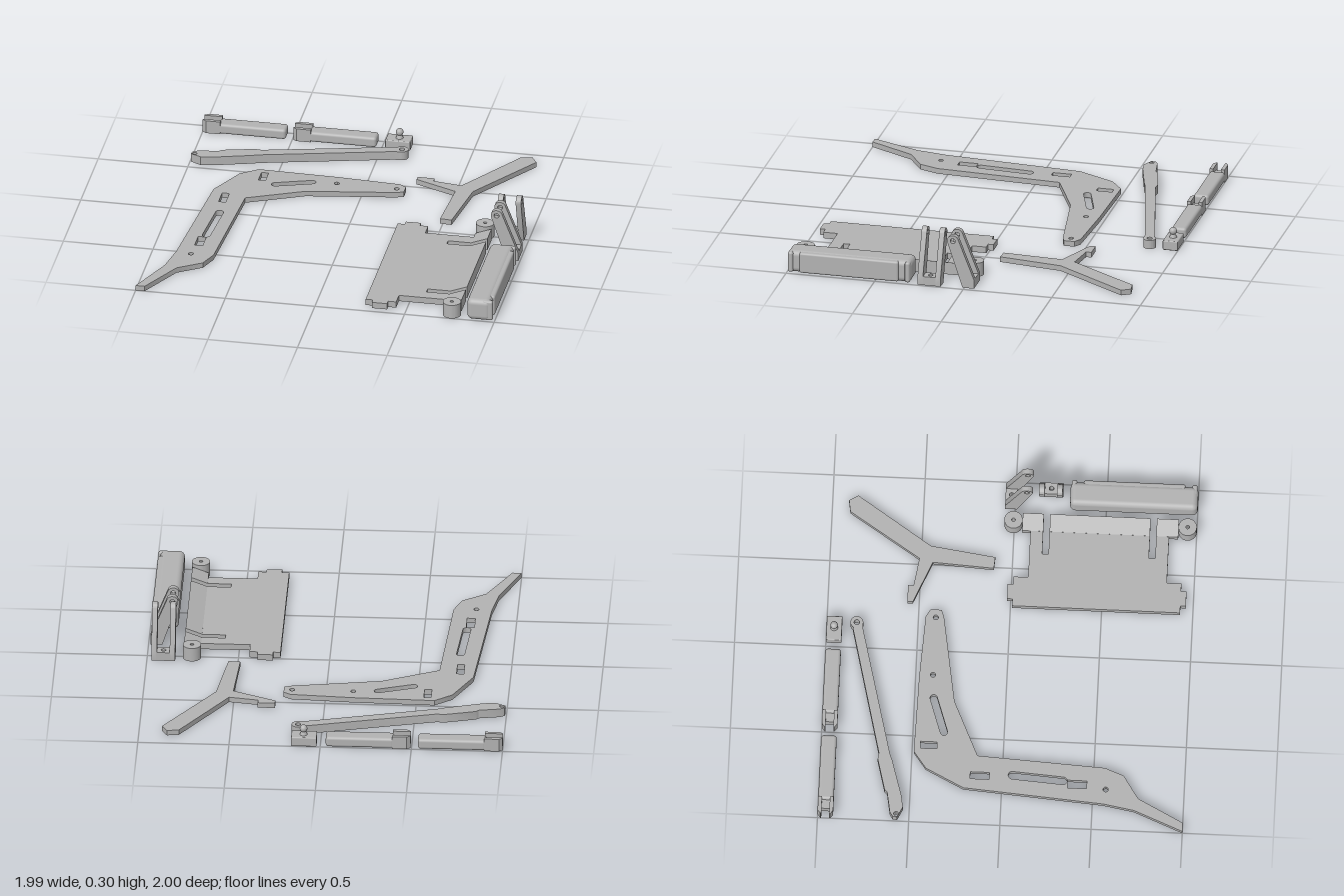
import * as THREE from 'three';
import { toCreasedNormals } from 'three/addons/utils/BufferGeometryUtils.js';
import { RoundedBoxGeometry } from 'three/addons/geometries/RoundedBoxGeometry.js';

const grey = new THREE.MeshStandardMaterial({ color: 0xb2b2b2 });
grey.name = 'plain grey';

function add(parent, name, geometry, x = 0, y = 0, z = 0) {
  const mesh = new THREE.Mesh(geometry, grey);
  mesh.name = name;
  mesh.position.set(x, y, z);
  parent.add(mesh);
  return mesh;
}

// Box given by its limits, optionally rounded
function block(parent, name, x0, x1, y0, y1, z0, z1, r = 0) {
  const s = [x1 - x0, y1 - y0, z1 - z0];
  const geo = r ? new RoundedBoxGeometry(...s, 4, r) : new THREE.BoxGeometry(...s);
  return add(parent, name, geo, (x0 + x1) / 2, (y0 + y1) / 2, (z0 + z1) / 2);
}

// Outlines are in plan coordinates [x, z]
const flip = (pts) => pts.map(([x, z]) => new THREE.Vector2(x, -z));
const circle = (x, z, r) => new THREE.Path().absarc(x, -z, r, 0, Math.PI * 2);
const rect = (x0, x1, z0, z1) => new THREE.Path(flip([[x0, z0], [x1, z0], [x1, z1], [x0, z1]]));

function slot(x0, z0, x1, z1, r) {
  const a = Math.atan2(z0 - z1, x1 - x0);
  const path = new THREE.Path();
  path.absarc(x1, -z1, r, a - Math.PI / 2, a + Math.PI / 2);
  path.absarc(x0, -z0, r, a + Math.PI / 2, a + Math.PI * 1.5);
  path.closePath();
  return path;
}

function extrude(shape, depth) {
  return toCreasedNormals(new THREE.ExtrudeGeometry(shape, { depth, bevelEnabled: false, curveSegments: 20 }), 0.6);
}

// Flat part lying on the ground
function plate(parent, name, shape, height, holes = []) {
  shape.holes.push(...holes);
  return add(parent, name, extrude(shape, height).rotateX(-Math.PI / 2));
}

// Finger segment with a raised fork at its end
function finger(x) {
  const g = new THREE.Group();
  g.name = 'fingerSegment';
  block(g, 'fingerBody', 0.09, 0.465, 0, 0.06, -1, -0.915, 0.016);
  block(g, 'forkFloor', 0.04, 0.12, 0, 0.045, -0.983, -0.932);
  for (const side of [-1, 1]) {
    const zo = -0.9575 + side * 0.0425, zi = -0.9575 + side * 0.022;
    const pts = [[0, zo - side * 0.015], [0.02, zo], [0.1, zo], [0.1, zi], [0, zi]];
    plate(g, 'forkProng', new THREE.Shape(flip(pts)), 0.075);
  }
  g.position.x = x;
  return g;
}

// Clevis with two leaning, round-topped legs and a drilled foot
function clevis() {
  const g = new THREE.Group();
  g.name = 'clevis';
  const leg = new THREE.Shape();
  leg.moveTo(-0.055, 0);
  leg.lineTo(0.01, 0);
  leg.lineTo(0.0965, 0.262);
  leg.absarc(0.065, 0.268, 0.032, -0.2, Math.PI - 0.25);
  leg.lineTo(-0.055, 0.05);
  leg.closePath();
  leg.holes.push(new THREE.Path().absarc(0.065, 0.268, 0.014, 0, Math.PI * 2));
  for (const z of [-0.065, 0.035]) add(g, 'clevisLeg', extrude(leg, 0.03), 0, 0, z);
  const foot = new THREE.Shape(flip([[-0.055, -0.04], [0.01, -0.04], [0.01, 0.04], [-0.055, 0.04]]));
  plate(g, 'clevisFoot', foot, 0.05, [circle(-0.022, 0, 0.013)]);
  return g;
}

export function createModel() {
  const model = new THREE.Group();
  model.name = 'flatPartsKit';

  // Large bent arm with slots and pin holes
  plate(model, 'bentArm', new THREE.Shape(flip([
    [-1, 1], [-0.95, 1], [-0.82, 0.75], [-0.69, 0.665], [-0.65, 0.56], [-0.61, -0.14], [-0.3, -0.28],
    [0.19, -0.36], [0.23, -0.375], [0.23, -0.435], [0.19, -0.46], [-0.16, -0.48], [-0.6, -0.49],
    [-0.695, -0.42], [-0.8, -0.21], [-0.86, 0.56], [-0.89, 0.73],
  ])), 0.03, [
    rect(-0.58, -0.54, -0.455, -0.365), rect(-0.745, -0.705, -0.175, -0.07), rect(-0.775, -0.73, 0.36, 0.465),
    slot(-0.48, -0.33, -0.285, -0.395, 0.02), slot(-0.715, 0.055, -0.735, 0.335, 0.022),
    circle(-0.15, -0.405, 0.014), circle(0.185, -0.405, 0.014), circle(-0.775, 0.57, 0.014),
  ]);

  // Long link rod with a round eye
  const rod = new THREE.Shape(flip([[-0.995, -0.565], [-0.935, -0.535], [-0.87, -0.545], [-0.665, -0.605], [-0.625, -0.62], [0.095, -0.8]]));
  rod.absarc(0.13, 0.835, 0.035, -Math.PI / 2, Math.PI * 0.85);
  for (const p of flip([[0.095, -0.855], [-0.625, -0.68], [-0.66, -0.685], [-0.835, -0.64], [-0.85, -0.625], [-0.965, -0.605], [-0.99, -0.59]])) rod.lineTo(p.x, p.y);
  rod.closePath();
  plate(model, 'linkRod', rod, 0.05, [circle(-0.975, -0.57, 0.013), circle(0.13, -0.835, 0.015)]);

  // Three-way fork piece
  plate(model, 'forkedBracket', new THREE.Shape(flip([
    [0.27, -0.565], [0.365, -0.565], [0.365, -0.535], [0.525, -0.51], [0.78, -0.9], [0.845, -0.91],
    [0.875, -0.86], [0.6, -0.45], [0.55, -0.095], [0.485, -0.1], [0.505, -0.435], [0.27, -0.535],
  ])), 0.03);

  // Finger segments and ball stud
  model.add(finger(-1), finger(-0.495));
  const stud = new THREE.Group();
  stud.name = 'ballStud';
  block(stud, 'studBase', 0.02, 0.16, 0, 0.055, -1, -0.915, 0.006);
  add(stud, 'studStem', new THREE.CylinderGeometry(0.01, 0.022, 0.03, 24), 0.093, 0.067, -0.958);
  add(stud, 'studBall', new THREE.SphereGeometry(0.021, 24, 16), 0.093, 0.091, -0.958);
  model.add(stud);

  // Tray with tabs and two slots
  const tray = new THREE.Group();
  tray.name = 'tray';
  plate(tray, 'trayPlate', new THREE.Shape(flip([
    [0.27, 0.01], [0.31, 0.01], [0.31, -0.02], [0.395, -0.02], [0.395, 0.01], [0.44, 0.01], [0.44, 0.09], [0.8, 0.09],
    [0.8, 0.16], [0.58, 0.16], [0.58, 0.195], [0.8, 0.195], [0.8, 0.745], [0.58, 0.745], [0.58, 0.78], [0.8, 0.78],
    [0.8, 0.85], [0.44, 0.85], [0.44, 0.93], [0.395, 0.93], [0.395, 0.96], [0.31, 0.96], [0.31, 0.93], [0.27, 0.93],
  ])), 0.035);
  // Sloping rail along the tray edge
  const wedge = new THREE.Shape([[0.71, 0], [0.8, 0], [0.8, 0.07], [0.71, 0.036]].map((p) => new THREE.Vector2(...p)));
  for (const [z0, z1] of [[0.045, 0.16], [0.195, 0.745], [0.78, 0.9]]) add(tray, 'trayRail', extrude(wedge, z1 - z0), 0, 0, z0);
  // Drilled bosses at both rail ends
  for (const z of [-0.005, 0.95]) {
    plate(tray, 'railBoss', new THREE.Shape().absarc(0.755, -z, 0.05, 0, Math.PI * 2), 0.08, [circle(0.755, z, 0.01)]);
  }
  model.add(tray);

  // Rounded case with two grooves on its outer side
  const pack = new THREE.Group();
  pack.name = 'roundedCase';
  block(pack, 'caseBody', 0.845, 0.98, 0, 0.125, 0.3, 1, 0.03);
  for (const [z0, z1] of [[0.305, 0.335], [0.37, 0.93], [0.965, 0.995]]) block(pack, 'casePanel', 0.93, 0.99, 0.004, 0.121, z0, z1, 0.012);
  model.add(pack);

  // Pair of clevises set at right angles
  const a = clevis();
  a.rotation.y = -Math.PI / 2;
  a.position.set(0.91, 0, 0);
  const b = clevis();
  b.rotation.y = Math.PI;
  b.position.set(0.935, 0, 0.195);
  model.add(a, b);

  return model;
}
